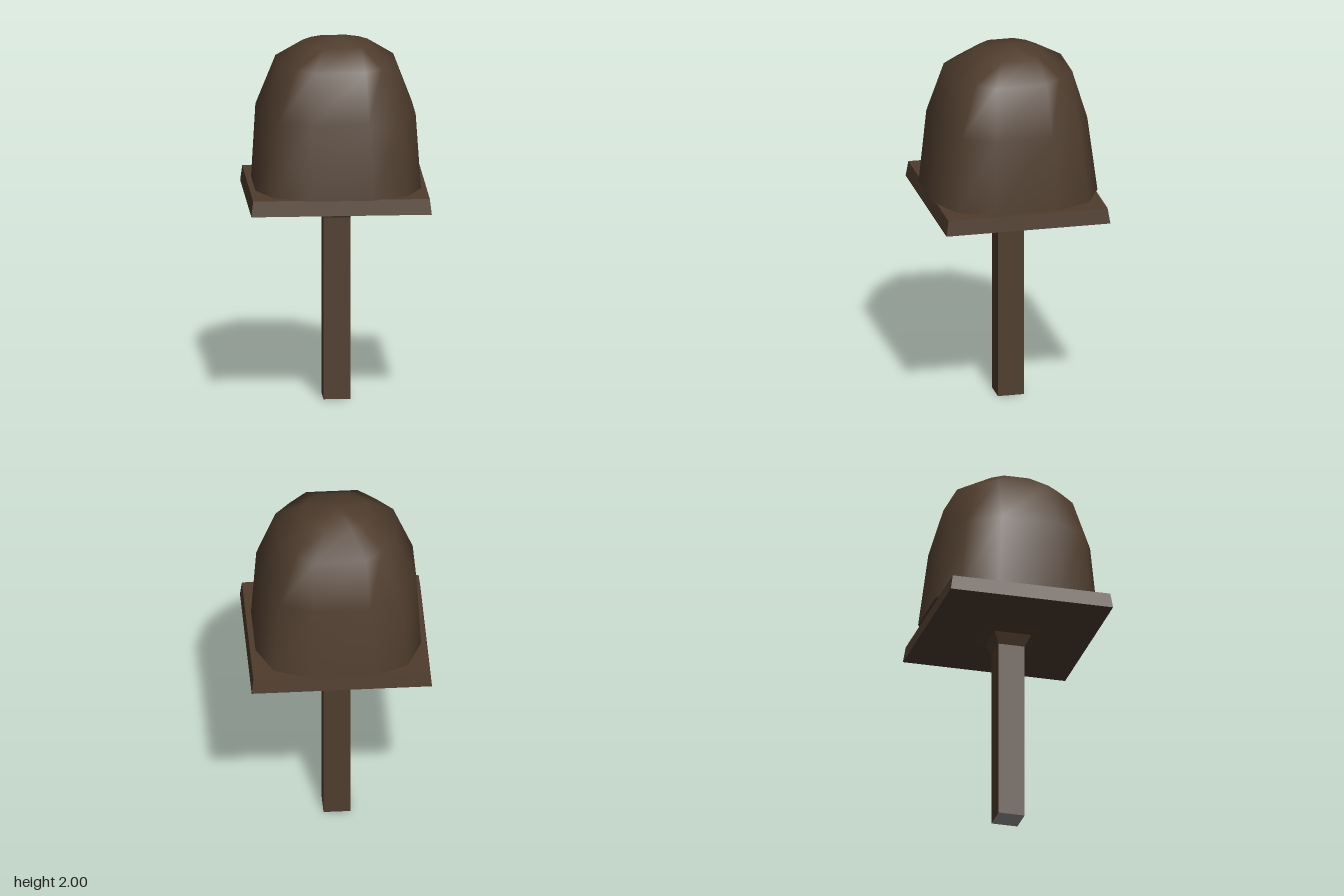
import * as THREE from 'three';

// Skin a stack of rings (each a list of [x, y, z]) from bottom to top, optionally capped.
function loft(rings, { top = false, bottom = false, flat = true } = {}) {
  const pos = [], idx = [], n = rings[0].length;
  rings.forEach(r => r.forEach(p => pos.push(...p)));
  for (let k = 0; k < rings.length - 1; k++) {
    for (let i = 0; i < n; i++) {
      const j = (i + 1) % n, a = k * n + i, b = k * n + j;
      idx.push(a, a + n, b, b, a + n, b + n);
    }
  }
  if (top) {
    const base = (rings.length - 1) * n, c = pos.length / 3;
    pos.push(0, rings[rings.length - 1][0][1], 0);
    for (let i = 0; i < n; i++) idx.push(c, base + (i + 1) % n, base + i);
  }
  if (bottom) {
    // separate vertices keep the lower rim sharp
    const base = pos.length / 3;
    rings[0].forEach(p => pos.push(...p));
    pos.push(0, rings[0][0][1], 0);
    for (let i = 0; i < n; i++) idx.push(base + n, base + i, base + (i + 1) % n);
  }
  let g = new THREE.BufferGeometry();
  g.setAttribute('position', new THREE.Float32BufferAttribute(pos, 3));
  g.setIndex(idx);
  if (flat) g = g.toNonIndexed();
  g.computeVertexNormals();
  return g;
}

const rect = (y, w, d = w) => [[w, y, -d], [w, y, d], [-w, y, d], [-w, y, -d]];

// Twelve-sided rounded square: half width, half depth, corner reach, half length of the flat side
function roundedSquare(y, w, d, c, s, cx = 0, cz = 0) {
  return [[w, -s], [w, s], [c, c], [s, d], [-s, d], [-c, c],
    [-w, s], [-w, -s], [-c, -c], [-s, -d], [s, -d], [c, -c]]
    .map(([x, z]) => [x + cx, y, z + cz]);
}

export function createModel() {
  const group = new THREE.Group();
  const wood = new THREE.MeshStandardMaterial({ color: 0x4f3d2e });
  wood.name = 'dark wood';
  const grey = new THREE.MeshStandardMaterial({ color: 0x9a9a9a });
  grey.name = 'grey';

  const add = (name, geometry, material = wood) => {
    const m = new THREE.Mesh(geometry, material);
    m.name = name;
    group.add(m);
  };

  // Square post flaring out under the platform
  add('post', loft([rect(0, 0.073), rect(1.01, 0.073)]));
  add('postFlare', loft([rect(1.01, 0.073), rect(1.07, 0.103), rect(1.095, 0.16)]));

  // Grey foot of the post
  const foot = new THREE.PlaneGeometry(0.146, 0.146);
  foot.rotateX(Math.PI / 2);
  add('postFoot', foot, grey);

  // Platform with slightly tapered rim and shallow underside
  add('platform', loft([rect(1.095, 0.16), rect(1.105, 0.49, 0.456),
    rect(1.19, 0.48, 0.443)], { top: true }));

  // Smooth domed hood
  add('dome', loft([
    roundedSquare(1.188, 0.45, 0.457, 0.367, 0.175),
    roundedSquare(1.6, 0.425, 0.412, 0.33, 0.155, -0.003, 0.006),
    roundedSquare(1.87, 0.32, 0.325, 0.235, 0.14),
    roundedSquare(1.97, 0.175, 0.168, 0.13, 0.07),
    roundedSquare(2.0, 0.04, 0.04, 0.03, 0.015),
  ], { top: true, bottom: true, flat: false }));

  return group;
}
